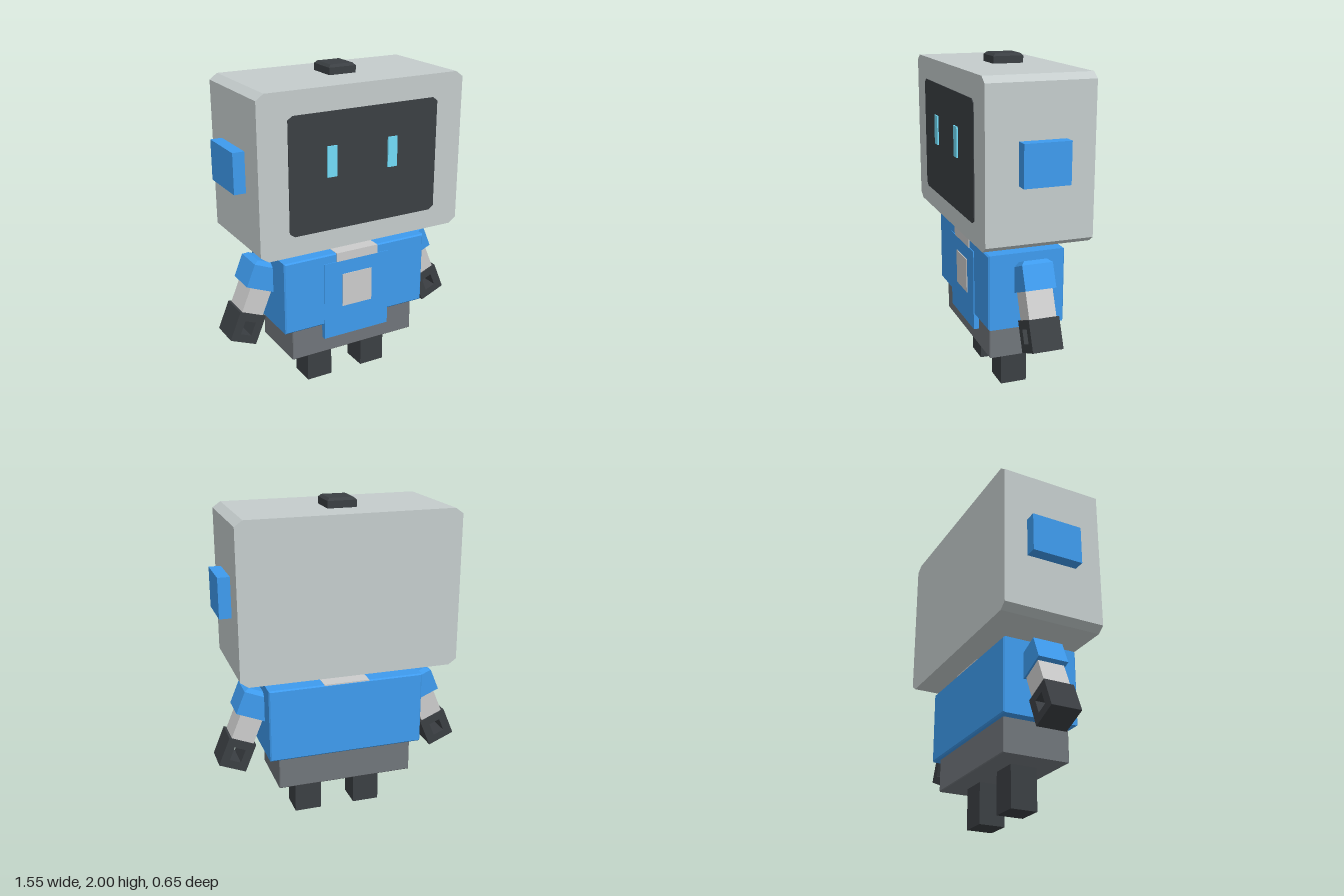
import * as THREE from 'three';

const mat = (color) => new THREE.MeshStandardMaterial({ color, flatShading: true });
const grey = mat(0xcccccc);
const shell = mat(0xc4cccc);
const blue = mat(0x3e9bee);
const black = mat(0x3b3f43);
const darkGrey = mat(0x70757a);
const cyan = mat(0x72dcf8);

// rectangle outline with cut corners
function cutRect(w, h, cx, cy) {
  const x = w / 2, y = h / 2;
  return new THREE.Shape([
    [x - cx, -y], [x, -y + cy], [x, y - cy], [x - cx, y],
    [-x + cx, y], [-x, y - cy], [-x, -y + cy], [-x + cx, -y],
  ].map(([a, b]) => new THREE.Vector2(a, b)));
}

// outline extruded in z, centred
function slab(shape, depth) {
  return new THREE.ExtrudeGeometry(shape, { depth, bevelEnabled: false }).translate(0, 0, -depth / 2);
}

// box with all edges cut by c
function cutBox(w, h, d, c) {
  const s = new THREE.Shape([
    new THREE.Vector2(-w / 2 + c, -h / 2 + c), new THREE.Vector2(w / 2 - c, -h / 2 + c),
    new THREE.Vector2(w / 2 - c, h / 2 - c), new THREE.Vector2(-w / 2 + c, h / 2 - c),
  ]);
  return new THREE.ExtrudeGeometry(s, {
    depth: d - 2 * c, bevelEnabled: true, bevelSegments: 1, bevelSize: c, bevelThickness: c,
  }).translate(0, 0, -d / 2 + c);
}

// box whose top edges are sloped inwards by c
function capBox(w, h, d, c) {
  const g = new THREE.BoxGeometry(w, h, d, 1, 2, 1);
  const p = g.attributes.position;
  for (let i = 0; i < p.count; i++) {
    const y = p.getY(i);
    if (y > h / 4) p.setXYZ(i, p.getX(i) * (1 - 2 * c / w), y, p.getZ(i) * (1 - 2 * c / d));
    else if (y > -h / 4) p.setY(i, h / 2 - c);
  }
  return g;
}

export function createModel() {
  const model = new THREE.Group();
  model.name = 'robot';

  const add = (name, geometry, material, x = 0, y = 0, z = 0, parent = model) => {
    const mesh = new THREE.Mesh(geometry, material);
    mesh.name = name;
    mesh.position.set(x, y, z);
    parent.add(mesh);
    return mesh;
  };
  // plain block given by its limits
  const block = (name, material, x0, x1, y0, y1, z0, z1) =>
    add(name, new THREE.BoxGeometry(x1 - x0, y1 - y0, z1 - z0), material,
      (x0 + x1) / 2, (y0 + y1) / 2, (z0 + z1) / 2);

  // head with screen face, eyes, ears and top knob
  add('head', slab(cutRect(1.335, 0.953, 0.048, 0.034), 0.638), shell, -0.003, 1.466, -0.008);
  add('screen', slab(cutRect(0.975, 0.695, 0.03, 0.022), 0.02), black, -0.002, 1.458, 0.306);
  block('rightEye', cyan, -0.252, -0.19, 1.43, 1.61, 0.3, 0.325);
  block('leftEye', cyan, 0.146, 0.208, 1.43, 1.61, 0.3, 0.325);
  block('rightEar', blue, -0.742, -0.66, 1.355, 1.597, -0.18, 0.14);
  block('leftEar', blue, 0.65, 0.737, 1.355, 1.597, -0.155, 0.12);
  add('topKnob', capBox(0.175, 0.08, 0.185, 0.015), black, -0.004, 1.96, -0.036);

  // neck and collar
  block('neck', grey, -0.14, 0.135, 0.88, 1.0, -0.125, 0.112);
  block('collar', grey, -0.145, 0.14, 0.858, 0.914, -0.238, 0.237);

  // torso with front panel and badge
  add('torso', cutBox(0.973, 0.457, 0.47, 0.008), blue, -0.004, 0.684, -0.005);
  block('frontPanel', blue, -0.229, 0.222, 0.36, 0.858, 0.19, 0.235);
  block('chestBadge', grey, -0.105, 0.1, 0.556, 0.77, 0.22, 0.239);

  // hips and legs
  add('hips', cutBox(0.853, 0.25, 0.414, 0.005), darkGrey, -0.004, 0.377, -0.005);
  block('rightLeg', black, -0.27, -0.1, 0, 0.26, -0.082, 0.083);
  block('leftLeg', black, 0.12, 0.29, 0, 0.26, -0.082, 0.083);

  // square hand with a square hole through it
  const handShape = cutRect(0.176, 0.186, 0.001, 0.001);
  handShape.holes.push(new THREE.Path([
    [-0.036, -0.043], [-0.036, 0.043], [0.036, 0.043], [0.036, -0.043],
  ].map(([a, b]) => new THREE.Vector2(a, b))));

  // arms, tilted outwards, measured from the hand centre
  for (const side of [1, -1]) {
    const name = side > 0 ? 'left' : 'right';
    const arm = new THREE.Group();
    arm.name = name + 'Arm';
    arm.position.set(side * 0.66 - 0.003, 0.471, -0.022);
    arm.rotation.z = side * THREE.MathUtils.degToRad(22.5);
    add(name + 'Hand', slab(handShape, 0.185), black, 0, 0, 0, arm);
    add(name + 'Forearm', new THREE.BoxGeometry(0.143, 0.2, 0.165), grey, 0, 0.18, 0, arm);
    add(name + 'Sleeve', capBox(0.205, 0.17, 0.187, 0.024), blue, 0, 0.338, 0, arm);
    model.add(arm);
  }
  return model;
}
